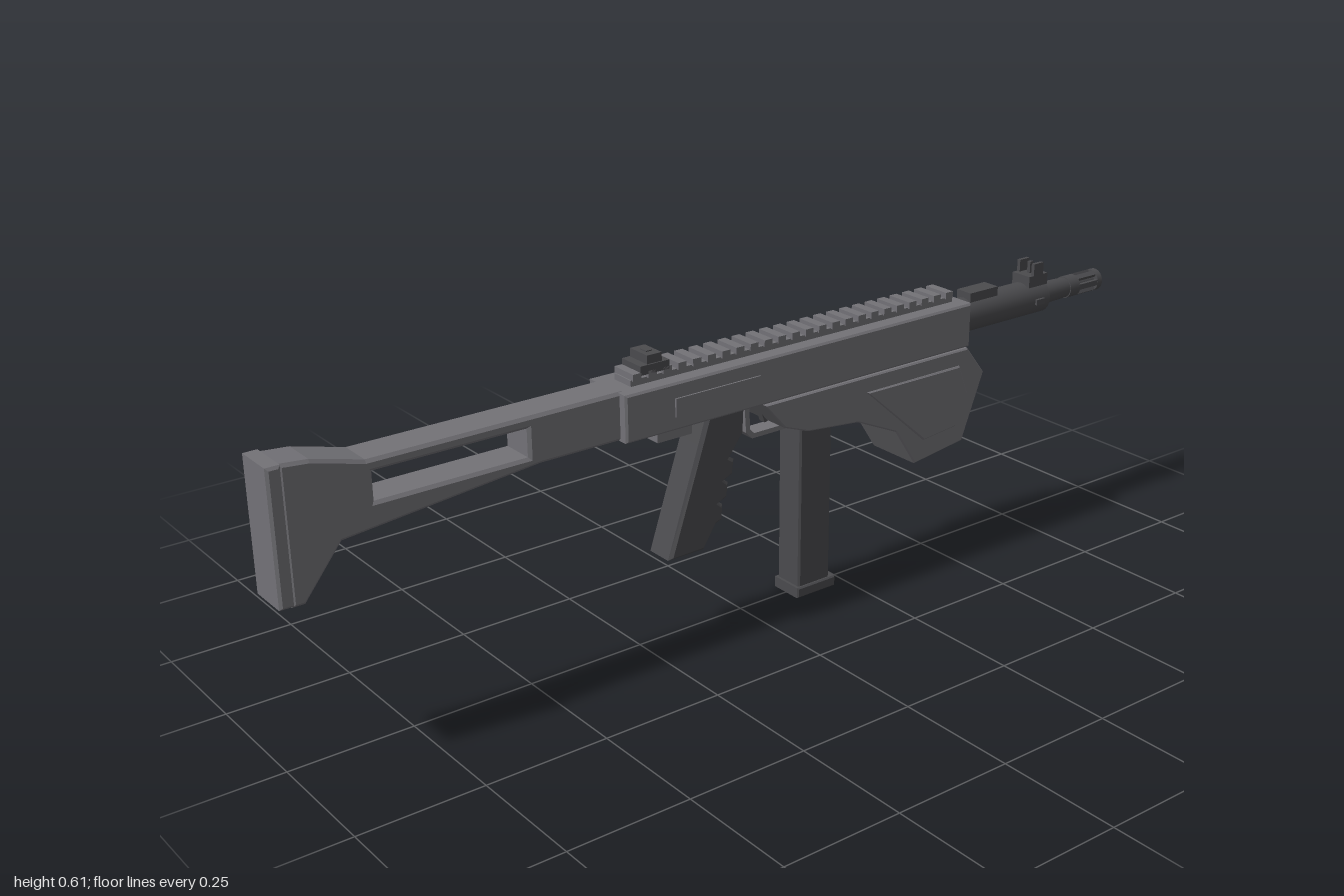
import * as THREE from 'three';

export function createModel() {
  const root = new THREE.Group();
  const body = new THREE.MeshStandardMaterial({ color: 0x737277 });
  body.name = 'grey body';
  const dark = new THREE.MeshStandardMaterial({ color: 0x4b4b4e });
  dark.name = 'dark metal';

  const add = (name, geo, mat, parent = root) => {
    const m = new THREE.Mesh(geo, mat);
    m.name = name;
    parent.add(m);
    return m;
  };
  // box from min/max in x and y, with half width in z
  const box = (name, x0, x1, y0, y1, h, mat, z = 0, parent = root) => {
    const g = new THREE.BoxGeometry(x1 - x0, y1 - y0, h * 2);
    g.translate((x0 + x1) / 2, (y0 + y1) / 2, z);
    return add(name, g, mat, parent);
  };
  // side outline extruded symmetrically in z, with bevelled edges
  const slab = (name, pts, h, mat, bevel = 0, hole = null, parent = root) => {
    const v = (a) => a.map(([x, y]) => new THREE.Vector2(x, y));
    const s = new THREE.Shape(v(pts));
    if (hole) s.holes.push(new THREE.Path(v(hole)));
    const g = new THREE.ExtrudeGeometry(s, {
      depth: 2 * (h - bevel), bevelEnabled: bevel > 0, bevelSize: bevel,
      bevelThickness: bevel, bevelOffset: -bevel, bevelSegments: 1,
    });
    g.translate(0, 0, -(h - bevel));
    return add(name, g, mat, parent);
  };
  // round part along x, profile given as [x, radius]
  const AXIS = 0.505;
  const turned = (name, pts, mat, parent = root) => {
    const g = new THREE.LatheGeometry(pts.map(([x, r]) => new THREE.Vector2(r, x)), 24);
    g.rotateZ(-Math.PI / 2);
    g.translate(0, AXIS, 0);
    return add(name, g, mat, parent);
  };
  const tube = (x0, x1, r0, r1) => [[x0, 0], [x0, r0], [x0, r0], [x1, r1], [x1, r1], [x1, 0]];

  // Stock with a long slot, and butt pad
  slab('stock', [[-0.975, 0.325], [-0.95, 0.325], [-0.875, 0.42], [-0.48, 0.458], [-0.30, 0.458],
    [-0.30, 0.553], [-0.82, 0.553], [-0.92, 0.58], [-0.975, 0.585]], 0.04, body, 0.006,
    [[-0.81, 0.475], [-0.81, 0.53], [-0.505, 0.53], [-0.505, 0.475]]);
  slab('buttPad', [[-1, 0.33], [-0.973, 0.33], [-0.973, 0.586], [-1, 0.586]], 0.046, body, 0.005);

  // Receiver and its raised side covers
  slab('receiver', [[-0.31, 0.458], [0.56, 0.458], [0.56, 0.552], [-0.31, 0.552]], 0.06, body, 0.004);
  box('sideCovers', -0.2, 0, 0.485, 0.522, 0.0635, body);

  // Angular foregrip housing with raised panels
  slab('foregripHousing', [[0.01, 0.458], [0.06, 0.4], [0.12, 0.378], [0.25, 0.365], [0.355, 0.318],
    [0.41, 0.234], [0.545, 0.252], [0.60, 0.395], [0.55, 0.458]], 0.065, body, 0.003);
  slab('foregripPanels', [[0.27, 0.425], [0.43, 0.283], [0.52, 0.292], [0.55, 0.36], [0.525, 0.425]],
    0.07, body, 0.003);

  // Toothed top rail
  const rail = new THREE.Group();
  rail.name = 'topRail';
  root.add(rail);
  box('railBase', -0.275, 0.535, 0.55, 0.564, 0.026, body, 0, rail);
  const teeth = 24;
  for (let i = 0; i < teeth; i++) {
    const x = -0.272 + i * (0.786 / (teeth - 1));
    box('railTooth', x, x + 0.019, 0.562, 0.576, 0.03, body, 0, rail);
  }

  // Rear sight
  const rear = new THREE.Group();
  rear.name = 'rearSight';
  root.add(rear);
  box('rearSightBase', -0.255, -0.19, 0.57, 0.588, 0.03, dark, 0, rear);
  box('rearSightLeaf', -0.238, -0.205, 0.588, 0.605, 0.027, dark, 0, rear);
  box('rearSightNotch', -0.228, -0.215, 0.6, 0.607, 0.01, dark, 0, rear);

  // Pistol grip with finger ridges
  slab('grip', [[-0.2, 0.178], [-0.115, 0.178], [-0.085, 0.225], [-0.07, 0.23], [-0.068, 0.262],
    [-0.078, 0.268], [-0.058, 0.275], [-0.054, 0.305], [-0.064, 0.312], [-0.044, 0.32],
    [-0.04, 0.35], [-0.05, 0.357], [-0.018, 0.4], [-0.015, 0.46], [-0.105, 0.46], [-0.125, 0.4]],
    0.036, dark, 0.007);

  // Sling block under the receiver
  box('slingBlock', -0.22, -0.14, 0.428, 0.45, 0.03, body);
  box('slingMount', -0.205, -0.155, 0.448, 0.46, 0.02, body);

  // Trigger and guard
  slab('triggerGuard', [[-0.005, 0.46], [0, 0.39], [0.015, 0.375], [0.13, 0.375], [0.13, 0.46]],
    0.018, body, 0, [[0.007, 0.455], [0.12, 0.455], [0.12, 0.385], [0.02, 0.385], [0.01, 0.395]]);
  slab('trigger', [[0.04, 0.46], [0.06, 0.46], [0.056, 0.425], [0.064, 0.398], [0.054, 0.396],
    [0.044, 0.425]], 0.008, dark);

  // Magazine and floor plate
  slab('magazine', [[0.125, 0.02], [0.207, 0.02], [0.207, 0.39], [0.125, 0.39]], 0.034, dark, 0.004);
  slab('magazineFloorPlate', [[0.119, 0], [0.22, 0], [0.22, 0.023], [0.119, 0.023]], 0.039, dark, 0.003);

  // Barrel shroud, its side pins and top block
  turned('barrelShroud', tube(0.55, 0.82, 0.037, 0.037), dark);
  box('shroudPins', 0.775, 0.8, 0.499, 0.511, 0.042, dark);
  box('shroudTopBlock', 0.595, 0.675, 0.53, 0.556, 0.02, dark);

  // Front sight
  const front = new THREE.Group();
  front.name = 'frontSight';
  root.add(front);
  box('frontSightBase', 0.765, 0.82, 0.535, 0.56, 0.025, dark, 0, front);
  box('frontSightPost', 0.787, 0.797, 0.556, 0.585, 0.004, dark, 0, front);
  for (const s of [-1, 1]) {
    box('frontSightEar', 0.778, 0.806, 0.556, 0.586, 0.004, dark, s * 0.021, front);
  }

  // Barrel and slotted muzzle
  turned('barrel', tube(0.81, 0.9, 0.025, 0.022), dark);
  turned('barrelTip', tube(0.895, 0.99, 0.015, 0.012), dark);
  const muzzle = new THREE.Group();
  muzzle.name = 'muzzleBrake';
  root.add(muzzle);
  turned('muzzleCollar', tube(0.9, 0.93, 0.024, 0.024), dark, muzzle);
  turned('muzzleRing', [[0.986, 0.013], [0.986, 0.024], [0.986, 0.024], [1, 0.024], [1, 0.024],
    [1, 0.013], [1, 0.013], [0.986, 0.013]], dark, muzzle);
  for (let i = 0; i < 6; i++) {
    const a = (i + 0.5) * Math.PI / 3;
    const g = new THREE.BoxGeometry(0.062, 0.008, 0.012);
    g.translate(0.958, 0.0195, 0);
    g.rotateX(a);
    g.translate(0, AXIS, 0);
    add('muzzleProng', g, dark, muzzle);
  }
  return root;
}
